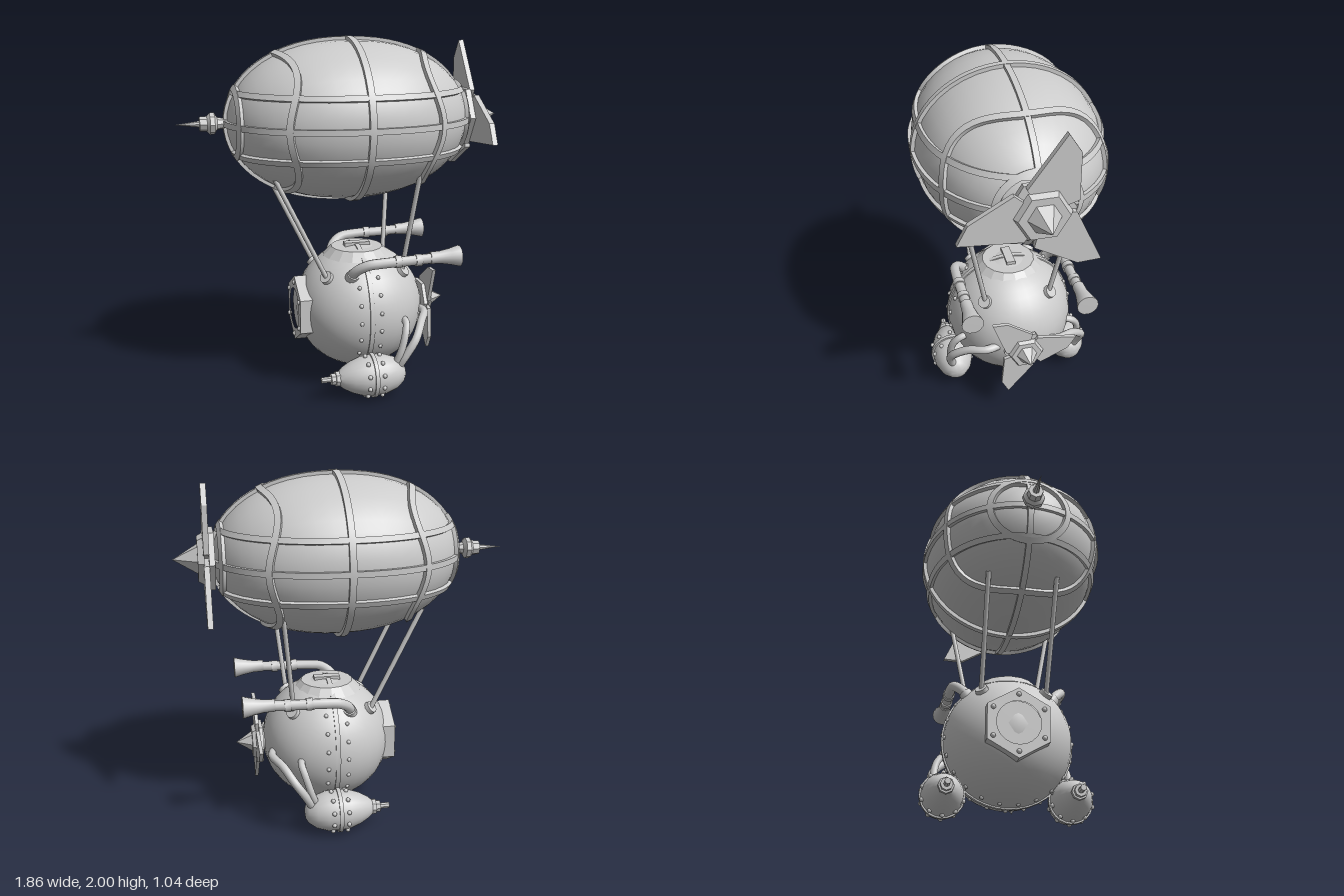
import * as THREE from 'three';
import { toCreasedNormals } from 'three/addons/utils/BufferGeometryUtils.js';

const smooth = new THREE.MeshStandardMaterial({ color: 0xcccccc });
const flat = new THREE.MeshStandardMaterial({ color: 0xcccccc, flatShading: true });
const V = (x, y, z) => new THREE.Vector3(x, y, z);

function add(parent, name, geometry, material = smooth, pos = [0, 0, 0]) {
  const mesh = new THREE.Mesh(geometry, material);
  mesh.name = name;
  mesh.position.set(...pos);
  parent.add(mesh);
  return mesh;
}

// Turned part along x, from [x, radius] pairs with x increasing
function latheX(points, sides = 20) {
  const g = new THREE.LatheGeometry(points.map(([x, r]) => new THREE.Vector2(r, x)), sides);
  return toCreasedNormals(g.rotateZ(-Math.PI / 2), 0.6);
}

const tube = (points, r, steps = 20) =>
  new THREE.TubeGeometry(new THREE.CatmullRomCurve3(points.map(p => V(...p))), steps, r, 10);

// Round bar between two points
function bar(parent, name, a, b, r0, r1 = r0, sides = 10) {
  const d = b.clone().sub(a);
  const m = add(parent, name, new THREE.CylinderGeometry(r1, r0, d.length(), sides));
  m.position.copy(a).addScaledVector(d, 0.5);
  m.quaternion.setFromUnitVectors(V(0, 1, 0), d.normalize());
}

// Envelope: |x/A|^N + (y/B)^2 + (z/C)^2 = 1
const A = 0.685, B = 0.44, C = 0.5, N = 2.25;
const radiusAt = x => Math.sqrt(Math.max(0, 1 - Math.abs(x / A) ** N));
const envelopeNormal = p => V(
  Math.sign(p.x) * N / A * Math.abs(p.x / A) ** (N - 1), 2 * p.y / B ** 2, 2 * p.z / C ** 2).normalize();

// Closed rectangular strap lying on the envelope
function strap(pointAt, width, height = 0.02, steps = 64) {
  const pts = Array.from({ length: steps }, (_, i) => pointAt(i / steps * Math.PI * 2));
  const rings = pts.map((p, i) => {
    const t = pts[(i + 1) % steps].clone().sub(pts[(i + steps - 1) % steps]).normalize();
    const n = envelopeNormal(p);
    const b = t.cross(n).normalize();
    return [[-1, -0.012], [1, -0.012], [1, height], [-1, height]].map(([s, h]) =>
      p.clone().addScaledVector(b, s * width / 2).addScaledVector(n, h));
  });
  const corners = [];
  rings.forEach((r, i) => {
    const q = rings[(i + 1) % steps];
    for (let k = 0; k < 4; k++) {
      const j = (k + 1) % 4;
      corners.push(r[k], q[k], q[j], r[k], q[j], r[j]);
    }
  });
  return toCreasedNormals(new THREE.BufferGeometry().setFromPoints(corners), 0.6);
}

// Three-bladed propeller facing +x
function propeller(name, turn) {
  const g = new THREE.Group();
  g.name = name;
  const polar = (deg, r) => new THREE.Vector2(r, 0).rotateAround(new THREE.Vector2(), deg * Math.PI / 180);
  for (let i = 0; i < 3; i++) {
    const o = turn + i * 120;
    const shape = new THREE.Shape([polar(o, 0), polar(18 + o, 0.19), polar(60.5 + o, 0.365),
      polar(75 + o, 0.437), polar(118 + o, 0.17)]);
    const blade = new THREE.ExtrudeGeometry(shape, { depth: 0.03, bevelEnabled: false });
    add(g, 'blade', blade.rotateY(Math.PI / 2), flat, [-0.015, 0, 0]);
  }
  const hex = (r0, r1, x0, x1) =>
    new THREE.CylinderGeometry(r1, r0, x1 - x0, 6).rotateZ(-Math.PI / 2).translate((x0 + x1) / 2, 0, 0);
  add(g, 'backPlate', hex(0.18, 0.18, -0.045, -0.014), flat);
  add(g, 'frontPlate', hex(0.15, 0.13, 0.01, 0.045), flat);
  add(g, 'spinner', hex(0.085, 0, 0.045, 0.18), flat);
  return g;
}

// Rivets in a circle around the x axis
function rivetRing(parent, x, r, count, offset, size, keep = () => true) {
  for (let i = 0; i < count; i++) {
    const a = (i + offset) / count * Math.PI * 2;
    const p = [x, r * Math.cos(a), r * Math.sin(a)];
    if (keep(p)) add(parent, 'rivet', new THREE.SphereGeometry(size, 8, 6), smooth, p);
  }
}

function buildBalloon() {
  const g = new THREE.Group();
  g.name = 'balloon';
  g.position.set(0.035, 1.54, 0);
  const profile = Array.from({ length: 25 }, (_, i) => {
    const x = -A * Math.cos(i / 24 * Math.PI);
    return new THREE.Vector2(radiusAt(x), x);
  });
  add(g, 'envelope', new THREE.LatheGeometry(profile, 40).rotateZ(-Math.PI / 2).scale(1, B, C));

  // Hoops, some with a wavy course
  for (const [x0, wave] of [[-0.63, 0], [-0.38, -0.03], [0, 0], [0.38, 0.03], [0.63, 0]])
    add(g, 'hoop', strap(t => {
      const x = x0 + wave * Math.cos(4 * t), r = radiusAt(x);
      return V(x, B * r * Math.cos(t), C * r * Math.sin(t));
    }, 0.036));

  // Lengthwise straps: three level ones and one upright
  const along = (t, k) => A * Math.sign(Math.cos(t)) * (k * Math.cos(t) ** 2) ** (1 / N);
  for (const v of [-0.37, 0, 0.37])
    add(g, 'levelStrap', strap(t => {
      const k = 1 - v * v;
      return V(along(t, k), B * v, C * Math.sqrt(k) * Math.sin(t));
    }, 0.032, 0.018));
  add(g, 'uprightStrap', strap(t => V(along(t, 1), B * Math.sin(t), 0), 0.032, 0.018));

  // Nose spike
  add(g, 'noseSpike', latheX([[-0.965, 0], [-0.83, 0.018], [-0.83, 0.04], [-0.79, 0.042], [-0.775, 0.06],
    [-0.75, 0.06], [-0.735, 0.035], [-0.71, 0.03], [-0.66, 0.03]], 8));
  return g;
}

function buildCabin() {
  const g = new THREE.Group();
  g.name = 'cabin';
  g.position.set(0.1, 0.44, 0);
  const R = 0.365;
  add(g, 'hull', new THREE.SphereGeometry(R, 32, 24).scale(1.02, 1, 1));
  add(g, 'seam', latheX([[-0.028, 0.34], [-0.028, 0.372], [-0.002, 0.372], [-0.002, 0.34]], 40));
  for (const [x, o] of [[-0.075, 0.5], [0.04, 0]])
    rivetRing(g, x, Math.sqrt(R * R - x * x), 22, o, 0.012, p => p[1] < 0.3);

  // Roof hatch with handle
  add(g, 'hatch', new THREE.CylinderGeometry(0.15, 0.2, 0.05, 16), flat, [-0.01, 0.33, 0]);
  add(g, 'hatchHandle', new THREE.BoxGeometry(0.15, 0.035, 0.05), flat, [-0.01, 0.36, 0]);

  // Six-sided window frame
  const frame = new THREE.Shape(Array.from({ length: 6 }, (_, i) =>
    new THREE.Vector2(0.195 * Math.sin(i * Math.PI / 3), 0.195 * Math.cos(i * Math.PI / 3))));
  frame.holes.push(new THREE.Path().absarc(0, 0, 0.12, 0, Math.PI * 2, true));
  add(g, 'windowFrame', new THREE.ExtrudeGeometry(frame, { depth: 0.12, bevelEnabled: false, curveSegments: 10 })
    .rotateY(-Math.PI / 2), flat, [-0.265, 0, 0]);
  add(g, 'windowPane', new THREE.CylinderGeometry(0.125, 0.125, 0.05, 20).rotateZ(Math.PI / 2), flat, [-0.342, 0, 0]);
  for (let i = 0; i < 6; i++) {
    const a = i * Math.PI / 3;
    add(g, 'windowBolt', new THREE.SphereGeometry(0.014, 8, 6), smooth,
      [-0.385, 0.158 * Math.cos(a), 0.158 * Math.sin(a)]);
  }
  return g;
}

// Riveted engine pod with tail nozzle
function buildPod(side) {
  const g = new THREE.Group();
  g.name = 'enginePod';
  g.position.set(0.085, 0.13, 0.355 * side);
  add(g, 'podShell', latheX([[-0.2, 0], [-0.195, 0.04], [-0.17, 0.062], [-0.12, 0.09], [-0.06, 0.111], [0, 0.118],
    [0.07, 0.113], [0.13, 0.093], [0.175, 0.06], [0.19, 0.035], [0.195, 0]], 24));
  add(g, 'podSeam', latheX([[-0.011, 0.1], [-0.011, 0.126], [0.011, 0.126], [0.011, 0.1]], 24));
  for (const x of [-0.042, 0.042]) rivetRing(g, x, 0.117, 10, 0, 0.013);
  add(g, 'nozzle', latheX([[-0.295, 0], [-0.295, 0.017], [-0.24, 0.017], [-0.24, 0.034], [-0.215, 0.034],
    [-0.215, 0.044], [-0.185, 0.044]], 8));
  return g;
}

export function createModel() {
  const model = new THREE.Group();
  model.name = 'airship';
  model.add(buildBalloon(), buildCabin());

  const big = propeller('balloonPropeller', 0);
  big.position.set(0.752, 1.54, 0);
  const small = propeller('cabinPropeller', 55);
  small.position.set(0.507, 0.435, 0);
  small.scale.setScalar(0.68);
  model.add(big, small);
  bar(model, 'propellerShaft', V(0.42, 0.435, 0), V(0.49, 0.435, 0), 0.06);

  const centre = V(0.1, 0.44, 0);
  for (const s of [1, -1]) {
    // Suspension rods and their sockets
    for (const [foot, top] of [[[-0.155, 0.69, 0.195], [-0.42, 1.25, 0.19]], [[0.325, 0.69, 0.2], [0.37, 1.27, 0.3]]]) {
      const f = V(foot[0], foot[1], foot[2] * s), out = f.clone().sub(centre).normalize();
      bar(model, 'suspensionRod', f.clone().addScaledVector(out, -0.03), V(top[0], top[1], top[2] * s), 0.014);
      bar(model, 'rodSocket', centre.clone().addScaledVector(out, 0.33), centre.clone().addScaledVector(out, 0.387), 0.042, 0.036, 12);
    }

    // Horn: bent pipe, collars and flared bell
    add(model, 'hornPipe', tube([[-0.01, 0.65, 0.21 * s], [0.01, 0.72, 0.27 * s], [0.07, 0.763, 0.31 * s],
      [0.15, 0.773, 0.32 * s], [0.3, 0.777, 0.32 * s], [0.45, 0.782, 0.32 * s]], 0.029, 28));
    bar(model, 'hornBase', V(-0.01, 0.64, 0.21 * s), V(0.002, 0.7, 0.255 * s), 0.045, 0.036, 12);
    for (const x of [0.24, 0.36])
      add(model, 'hornCollar', latheX([[-0.018, 0.02], [-0.018, 0.035], [0.018, 0.035], [0.018, 0.02]], 12),
        smooth, [x, 0.777, 0.32 * s]);
    add(model, 'hornBell', latheX([[0, 0.028], [0, 0.034], [0.06, 0.036], [0.12, 0.047], [0.17, 0.06], [0.175, 0.06], [0.176, 0]], 16),
      smooth, [0.43, 0.784, 0.32 * s]);

    // Engine pod and its two pipes
    model.add(buildPod(s));
    add(model, 'outerPipe', tube([[0.23, 0.16, 0.37 * s], [0.27, 0.24, 0.395 * s], [0.33, 0.33, 0.39 * s],
      [0.39, 0.405, 0.31 * s], [0.44, 0.43, 0.21 * s], [0.42, 0.43, 0.13 * s]], 0.024, 28));
    add(model, 'innerPipe', tube([[0.21, 0.17, 0.37 * s], [0.245, 0.27, 0.39 * s], [0.275, 0.37, 0.375 * s],
      [0.29, 0.42, 0.335 * s], [0.28, 0.43, 0.28 * s]], 0.021));
  }
  return model;
}
